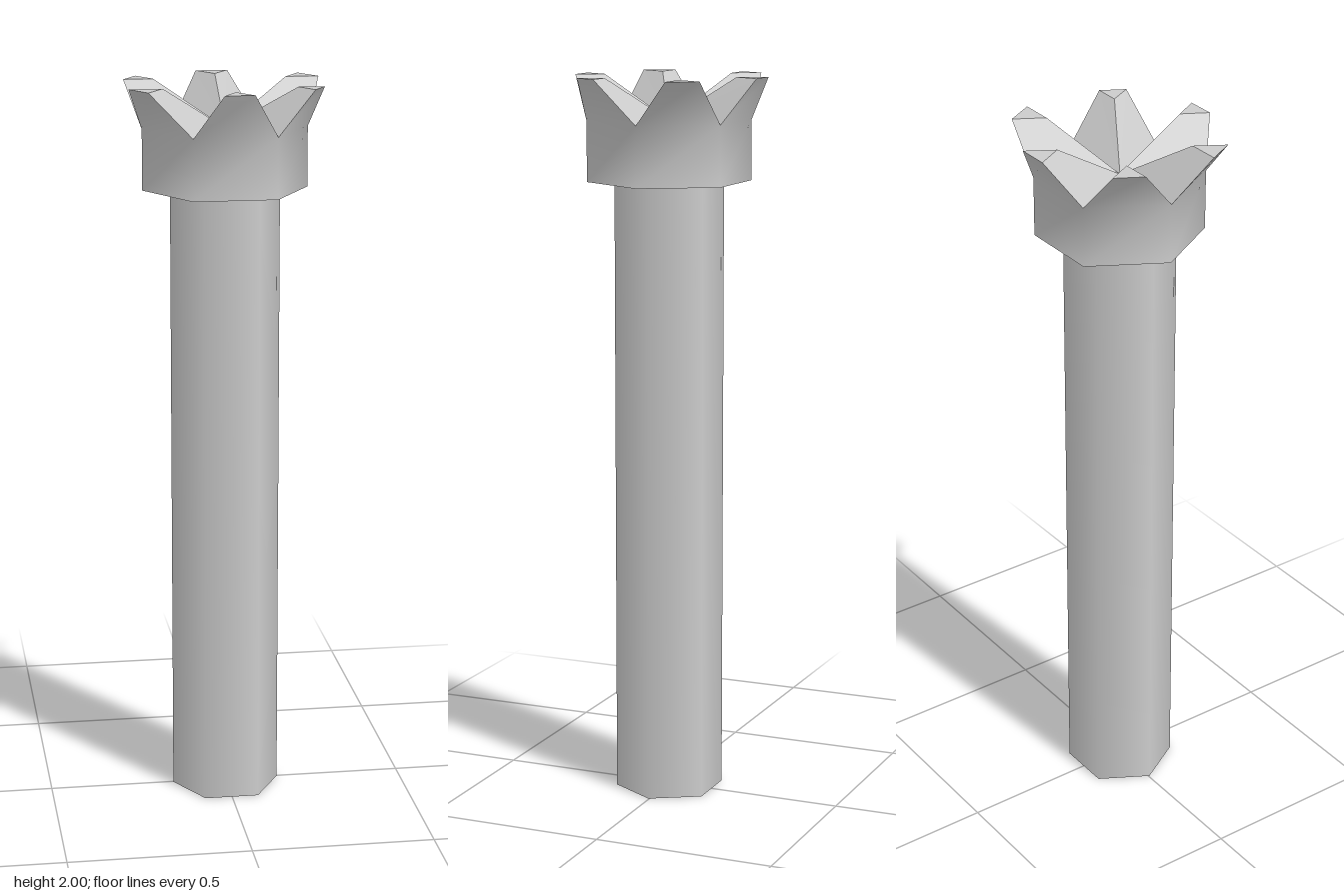
import * as THREE from 'three';

const CX = -0.001, CZ = 0.003;            // axis of the column
const BASE_Y = 1.715, RIM_Y = 1.88, TOP_Y = 2;
const RADIUS = 0.225;

// Cut tip of each petal, as [x, z]: outer corners a and b, inner ridge end t
const PETALS = [
  { a: [0.249, 0.114], b: [0.213, 0.177], t: [0.178, 0.113] },
  { a: [0.040, 0.264], b: [-0.040, 0.264], t: [-0.001, 0.195] },
  { a: [-0.228, 0.179], b: [-0.271, 0.101], t: [-0.181, 0.101] },
  { a: [-0.263, -0.105], b: [-0.222, -0.177], t: [-0.181, -0.105] },
  { a: [-0.044, -0.267], b: [0.044, -0.267], t: [-0.001, -0.192] },
  { a: [0.226, -0.180], b: [0.271, -0.102], t: [0.180, -0.102] },
];

const corner = (k, y) => {
  const angle = (k % 6) * Math.PI / 3;
  return [CX + RADIUS * Math.cos(angle), y, CZ + RADIUS * Math.sin(angle)];
};
const tip = ([x, z]) => [x, TOP_Y, z];

// Polygons (counter-clockwise point lists) to triangles
function polygons(list) {
  const positions = [];
  for (const p of list) {
    for (let i = 1; i < p.length - 1; i++) positions.push(...p[0], ...p[i], ...p[i + 1]);
  }
  const geometry = new THREE.BufferGeometry();
  geometry.setAttribute('position', new THREE.Float32BufferAttribute(positions, 3));
  geometry.computeVertexNormals();
  return geometry;
}

// Smooth hexagonal wall that flares out into the petal backs
function wallGeometry() {
  const points = [], index = [];
  PETALS.forEach(({ a, b }, k) => {
    points.push(corner(k, BASE_Y), corner(k, RIM_Y), tip(a), tip(b));
    const o = k * 4, n = ((k + 1) % 6) * 4;
    index.push(n, o, o + 1, n, o + 1, n + 1);
    index.push(n + 1, o + 1, o + 2, n + 1, o + 2, o + 3);
  });
  const geometry = new THREE.BufferGeometry();
  geometry.setAttribute('position', new THREE.Float32BufferAttribute(points.flat(), 3));
  geometry.setIndex(index);
  geometry.computeVertexNormals();
  return geometry;
}

export function createModel() {
  const group = new THREE.Group();
  group.name = 'column';
  const smooth = new THREE.MeshStandardMaterial({ color: 0xcccccc });
  const flat = new THREE.MeshStandardMaterial({ color: 0xcccccc, flatShading: true });
  const add = (name, geometry, material) => {
    const mesh = new THREE.Mesh(geometry, material);
    mesh.name = name;
    group.add(mesh);
    return mesh;
  };

  // Six-sided shaft
  add('shaft', new THREE.CylinderGeometry(0.15, 0.15, BASE_Y, 6, 1, false, Math.PI / 2), smooth)
    .position.set(CX, BASE_Y / 2, CZ);

  // Collar wall and underside
  add('collarWall', wallGeometry(), smooth);
  const under = [CX, BASE_Y, CZ];
  add('collarUnderside', polygons(PETALS.map((_, k) => [under, corner(k, BASE_Y), corner(k + 1, BASE_Y)])), flat);

  // Inner petal faces: two slopes meeting at a ridge, with a level cut tip
  const centre = [CX, RIM_Y, CZ];
  PETALS.forEach(({ a, b, t }, k) => {
    add('petal' + (k + 1), polygons([
      [centre, tip(t), tip(a), corner(k, RIM_Y)],
      [centre, corner(k + 1, RIM_Y), tip(b), tip(t)],
      [tip(t), tip(b), tip(a)],
    ]), flat);
  });

  return group;
}
